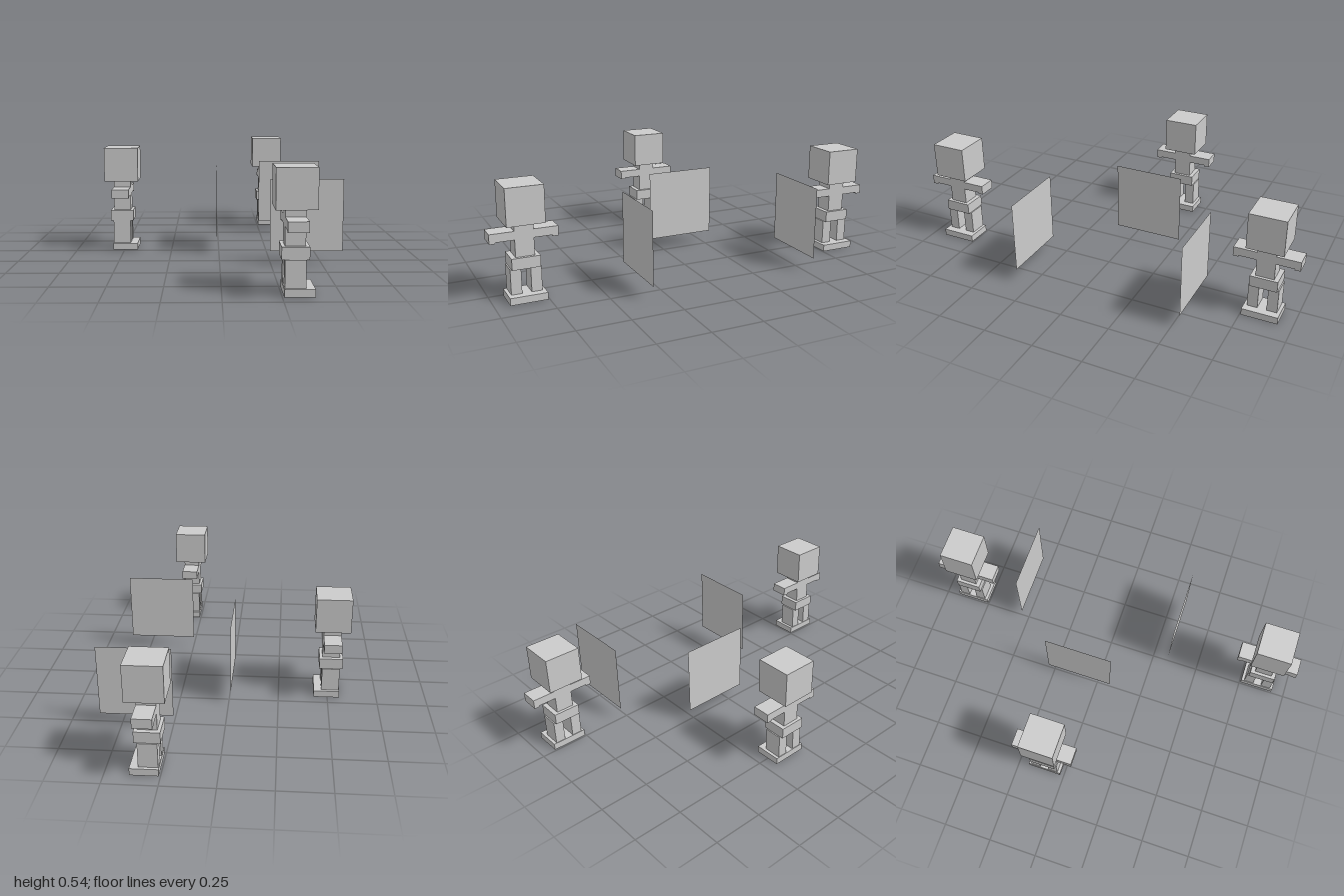
import * as THREE from 'three';

const material = new THREE.MeshStandardMaterial({ color: 0xcccccc, flatShading: true });
const sheet = new THREE.MeshStandardMaterial({ color: 0xcccccc, side: THREE.DoubleSide });

// Box given by its [min, max] range on each axis
function box(name, [x0, x1], [y0, y1], [z0, z1]) {
  const mesh = new THREE.Mesh(new THREE.BoxGeometry(x1 - x0, y1 - y0, z1 - z0), material);
  mesh.position.set((x0 + x1) / 2, (y0 + y1) / 2, (z0 + z1) / 2);
  mesh.name = name;
  return mesh;
}

// Blocky figure with outstretched arms, looking along +x
function createFigure(name, x, z) {
  const figure = new THREE.Group();
  figure.name = name;
  figure.add(
    box('head', [-0.0875, 0.0875], [0.365, 0.54], [-0.0875, 0.0875]),
    box('torso', [-0.044, 0.044], [0.208, 0.365], [-0.044, 0.044]),
    box('pelvis', [-0.059, 0.059], [0.154, 0.208], [-0.066, 0.066]),
  );
  // Limbs on both sides
  for (const side of [1, -1]) {
    const prefix = side > 0 ? 'right' : 'left';
    const span = (a, b) => (side > 0 ? [a, b] : [-b, -a]);
    figure.add(
      box(prefix + 'Arm', [-0.044, 0.044], [0.29, 0.33], span(0.044, 0.13)),
      box(prefix + 'Hand', [-0.044, 0.044], [0.284, 0.33], span(0.13, 0.157)),
      box(prefix + 'Leg', [-0.045, 0.044], [0.034, 0.154], span(0.022, 0.072)),
      box(prefix + 'Foot', [-0.048, 0.082], [0, 0.034], span(0, 0.0875)),
    );
  }
  figure.position.set(x, 0, z);
  return figure;
}

// Thin upright square panel
function createPanel(name, x, z, turn) {
  const panel = new THREE.Mesh(new THREE.PlaneGeometry(0.355, 0.355), sheet);
  panel.name = name;
  panel.position.set(x, 0.243, z);
  panel.rotation.y = turn;
  return panel;
}

export function createModel() {
  const model = new THREE.Group();
  model.name = 'figuresWithPanels';
  model.add(
    createFigure('sideFigure', -0.5125, -0.107),
    createFigure('frontFigure', 0.306, 0.843),
    createFigure('backFigure', 0.306, -0.843),
    createPanel('sidePanel', -0.01, -0.102, Math.PI / 2),
    createPanel('frontPanel', 0.4225, 0.332, 0),
    createPanel('backPanel', 0.4225, -0.535, 0),
  );
  return model;
}
